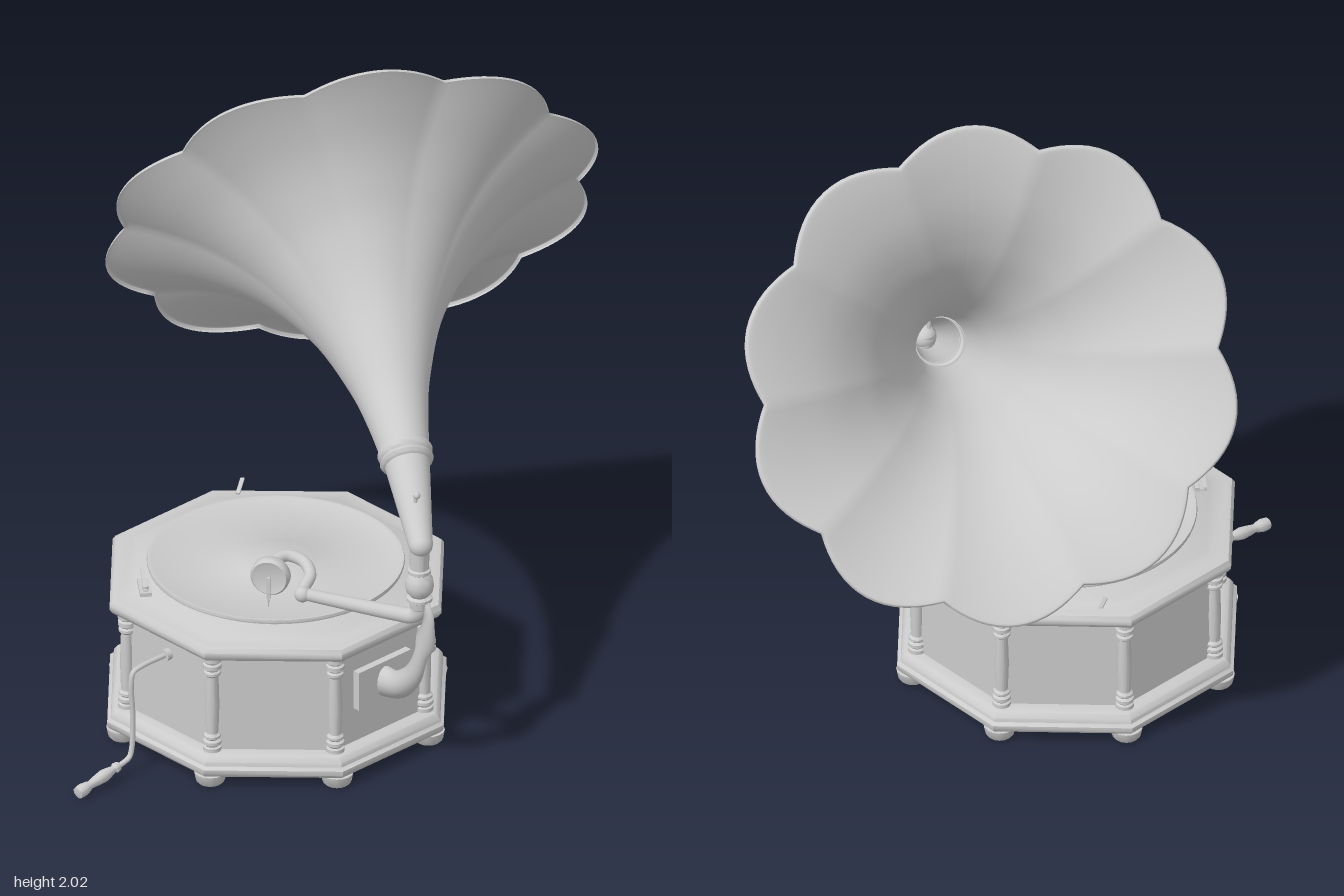
import * as THREE from 'three';
import { toCreasedNormals } from 'three/addons/utils/BufferGeometryUtils.js';

const grey = new THREE.MeshStandardMaterial({ color: 0xcccccc, side: THREE.DoubleSide });
const CX = -0.185, CZ = 0.03;                       // middle of the cabinet
const V = (x, y, z) => new THREE.Vector3(x, y, z);
const P = (list) => list.map(([r, y]) => new THREE.Vector2(r, y));

export function createModel() {
  const model = new THREE.Group();

  const add = (name, geometry, x = 0, y = 0, z = 0, parent = model) => {
    const mesh = new THREE.Mesh(geometry, grey);
    mesh.name = name;
    mesh.position.set(x, y, z);
    parent.add(mesh);
    return mesh;
  };
  // Eight-sided ring or slab; profile holds [apothem, y]
  const octagon = (name, profile) => {
    const pts = P(profile.map(([a, y]) => [a / Math.cos(Math.PI / 8), y]));
    const g = new THREE.LatheGeometry(pts, 8, Math.PI / 8);
    return add(name, toCreasedNormals(g, 0.7), CX, 0, CZ);
  };
  const turned = (profile, sides = 24) =>
    toCreasedNormals(new THREE.LatheGeometry(P(profile), sides), 0.7);
  // Tube whose radius follows a rule along the path, with an optional flattening in x
  const taperTube = (points, radius, segs = 48, sides = 14, flatX = () => 1) => {
    const path = new THREE.CatmullRomCurve3(points, false, 'centripetal');
    const g = new THREE.TubeGeometry(path, segs, 1, sides);
    const pos = g.attributes.position, v = V(0, 0, 0);
    for (let i = 0; i < pos.count; i++) {
      const t = Math.floor(i / (sides + 1)) / segs, c = path.getPointAt(t);
      v.fromBufferAttribute(pos, i).sub(c).multiplyScalar(radius(t));
      v.x *= flatX(t);
      v.add(c);
      pos.setXYZ(i, v.x, v.y, v.z);
    }
    return g;
  };

  // Cabinet: open underneath, with moulded plinth and top
  octagon('plinth', [[0.42, 0.035], [0.482, 0.035], [0.49, 0.045], [0.49, 0.06], [0.48, 0.068],
    [0.478, 0.08], [0.468, 0.094], [0.45, 0.1], [0.42, 0.1], [0.42, 0.035]]);
  octagon('cabinetWalls', [[0.42, 0.09], [0.432, 0.09], [0.432, 0.42], [0.42, 0.42], [0.42, 0.09]]);
  octagon('topMoulding', [[0, 0.412], [0.46, 0.412], [0.475, 0.418], [0.483, 0.43], [0.483, 0.445],
    [0.475, 0.457], [0.46, 0.461], [0.425, 0.461], [0.41, 0.472], [0, 0.472]]);

  // Columns and feet at the eight corners
  const column = turned([[0.027, 0.1], [0.027, 0.112], [0.02, 0.115], [0.027, 0.122], [0.027, 0.132],
    [0.019, 0.137], [0.025, 0.143], [0.025, 0.15], [0.018, 0.157], [0.021, 0.25], [0.018, 0.345],
    [0.025, 0.352], [0.025, 0.36], [0.019, 0.365], [0.027, 0.372], [0.027, 0.385], [0.02, 0.389],
    [0.028, 0.396], [0.028, 0.413]], 16);
  const foot = turned([[0, 0], [0.036, 0], [0.043, 0.008], [0.048, 0.035], [0, 0.036]], 16);
  for (let i = 0; i < 8; i++) {
    const a = (i + 0.5) * Math.PI / 4, s = Math.sin(a), c = Math.cos(a);
    add('column', column, CX + 0.468 * s, 0, CZ + 0.468 * c);
    add('foot', foot, CX + 0.482 * s, 0, CZ + 0.482 * c);
  }

  // Turntable, record and spindle
  add('turntable', turned([[0, 0.47], [0.355, 0.47], [0.355, 0.482], [0.374, 0.484], [0.376, 0.49],
    [0.374, 0.496], [0.362, 0.496], [0.355, 0.493], [0.12, 0.493], [0.115, 0.496], [0, 0.496]], 64), CX, 0, 0.025);
  add('spindle', new THREE.SphereGeometry(0.01, 12, 8), CX, 0.5, 0.025);

  // Brake lever beside the turntable
  const brake = new THREE.Group();
  brake.name = 'brake';
  brake.position.set(-0.565, 0.475, -0.13);
  brake.rotation.y = 0.9;
  add('brakePlate', new THREE.BoxGeometry(0.09, 0.012, 0.035), 0, 0.006, 0, brake);
  add('brakePivot', new THREE.CylinderGeometry(0.01, 0.01, 0.02, 12), -0.02, 0.014, 0, brake);
  add('brakeLever', new THREE.BoxGeometry(0.11, 0.006, 0.012), 0.02, 0.02, 0, brake).rotation.z = 0.12;
  model.add(brake);
  const catchLever = add('speedLever', new THREE.BoxGeometry(0.07, 0.006, 0.012), 0.05, 0.487, -0.37);
  catchLever.rotation.set(0, 0.6, 0.2);

  // Crank with turned handle
  add('crankArm', taperTube([V(-0.6, 0.343, 0.025), V(-0.73, 0.343, 0.025), V(-0.76, 0.335, 0.025),
    V(-0.768, 0.3, 0.025), V(-0.762, 0.2, 0.025), V(-0.765, 0.09, 0.025), V(-0.775, 0.06, 0.025),
    V(-0.8, 0.05, 0.025), V(-0.84, 0.044, 0.025)], () => 0.008, 60, 10));
  add('crankSocket', new THREE.CylinderGeometry(0.018, 0.018, 0.02, 16), -0.625, 0.343, 0.025)
    .rotation.z = Math.PI / 2;
  const handle = add('crankHandle', turned([[0, 0], [0.014, 0], [0.016, 0.012], [0.011, 0.02], [0.016, 0.04],
    [0.019, 0.06], [0.016, 0.09], [0.012, 0.115], [0.016, 0.125], [0.02, 0.145], [0.018, 0.165], [0, 0.17]], 16),
  -0.82, 0.047, 0.025);
  handle.rotation.z = Math.PI / 2 + 0.17;

  // Bracket on the front wall carrying the horn
  add('bracketPlate', new THREE.BoxGeometry(0.21, 0.125, 0.025), CX, 0.273, 0.472);
  add('bracket', taperTube([V(CX, 0.27, 0.475), V(CX, 0.282, 0.54), V(CX, 0.335, 0.6), V(CX, 0.42, 0.637),
    V(CX, 0.5, 0.663), V(CX, 0.56, 0.668), V(CX, 0.595, 0.65), V(CX, 0.6, 0.63)],
  (t) => 0.05 - 0.022 * Math.min(1, t / 0.55) + 0.016 * Math.exp(-(((t - 0.67) / 0.1) ** 2)) - 0.008 * t,
  48, 16, (t) => Math.max(0.3, 0.65 - 0.6 * t)));

  // Joint and upright pipe
  add('joint', turned([[0.022, 0.57], [0.028, 0.575], [0.03, 0.595], [0.038, 0.6], [0.038, 0.61], [0.028, 0.616],
    [0.039, 0.63], [0.043, 0.65], [0.039, 0.672], [0.028, 0.688], [0.034, 0.692], [0.034, 0.702],
    [0.028, 0.706], [0.03, 0.8]]), CX, 0, 0.63);

  // Tone arm with goose neck
  add('toneArm', taperTube([V(CX, 0.6, 0.63), V(CX, 0.56, 0.628), V(-0.192, 0.54, 0.605), V(-0.215, 0.539, 0.56),
    V(-0.29, 0.548, 0.425), V(-0.355, 0.558, 0.31)], (t) => 0.025 - 0.007 * t));
  add('gooseNeck', taperTube([V(-0.36, 0.555, 0.325), V(-0.335, 0.562, 0.3), V(-0.285, 0.58, 0.275),
    V(-0.265, 0.596, 0.225), V(-0.285, 0.605, 0.18), V(-0.325, 0.602, 0.172), V(-0.375, 0.592, 0.2)],
  () => 0.018));
  add('toneArmCollar', new THREE.SphereGeometry(0.024, 16, 12), -0.355, 0.557, 0.315);

  // Sound box and needle
  const box = new THREE.Group();
  box.name = 'soundBox';
  box.position.set(-0.385, 0.59, 0.212);
  const disc = add('soundBoxDisc', turned([[0, -0.016], [0.04, -0.016], [0.052, -0.02], [0.058, -0.012],
    [0.058, 0.012], [0.052, 0.02], [0.04, 0.016], [0, 0.016]], 32), 0, 0, 0, box);
  disc.rotation.z = Math.PI / 2;
  add('needleArm', new THREE.BoxGeometry(0.008, 0.07, 0.01), -0.024, -0.03, 0, box);
  add('needle', new THREE.CylinderGeometry(0.005, 0.001, 0.045, 8), -0.024, -0.07, 0, box);
  box.rotation.y = 0.55;
  model.add(box);

  // Horn frame: local y runs along the horn axis, origin at the collar
  const horn = new THREE.Group();
  horn.name = 'horn';
  const n = V(0.456, 0.496, -0.738).normalize();
  const u = V(0.851, 0, 0.526).normalize();
  horn.applyMatrix4(new THREE.Matrix4().makeBasis(u, n, u.clone().cross(n)));
  horn.position.set(-0.05, 0.95, 0.43);
  model.add(horn);

  // Flared bell with ten petals growing towards the rim
  const curve = new THREE.SplineCurve(P([[0.072, 0], [0.09, 0.12], [0.12, 0.25], [0.19, 0.44], [0.29, 0.6],
    [0.385, 0.7], [0.485, 0.775], [0.6, 0.833], [0.695, 0.868], [0.712, 0.866], [0.715, 0.858]]));
  const bell = new THREE.LatheGeometry(curve.getPoints(50), 160);
  const pos = bell.attributes.position;
  for (let i = 0; i < pos.count; i++) {
    const x = pos.getX(i), z = pos.getZ(i), r = Math.hypot(x, z);
    const petal = Math.abs(Math.sin(5 * Math.atan2(z, x))) - 0.6;
    const k = 1 + 0.09 * petal * Math.min(1, (r / 0.71) ** 2);
    pos.setX(i, x * k);
    pos.setZ(i, z * k);
  }
  bell.computeVertexNormals();
  add('bell', bell, 0, 0, 0, horn);

  // Collar rings
  add('collar', turned([[0.066, -0.035], [0.076, -0.03], [0.08, -0.022], [0.076, -0.014], [0.073, -0.01],
    [0.08, -0.002], [0.082, 0.008], [0.078, 0.018], [0.072, 0.02]], 40), 0, 0, 0, horn);

  // Tapered elbow between the upright pipe and the collar
  const start = V(CX, 0.785, 0.635), end = horn.position.clone().addScaledVector(n, -0.02);
  const axis = end.clone().sub(start);
  const elbow = add('elbow', new THREE.CylinderGeometry(0.068, 0.036, axis.length(), 32, 1, true));
  elbow.position.copy(start).addScaledVector(axis, 0.5);
  elbow.quaternion.setFromUnitVectors(V(0, 1, 0), axis.clone().normalize());
  add('elbowCorner', new THREE.SphereGeometry(0.036, 20, 14), CX, 0.785, 0.635);

  // Set screw on the elbow
  add('setScrew', new THREE.CylinderGeometry(0.006, 0.006, 0.05, 10), -0.148, 0.893, 0.575);
  add('setScrewHead', new THREE.SphereGeometry(0.011, 10, 8), -0.148, 0.912, 0.58);

  return model;
}
